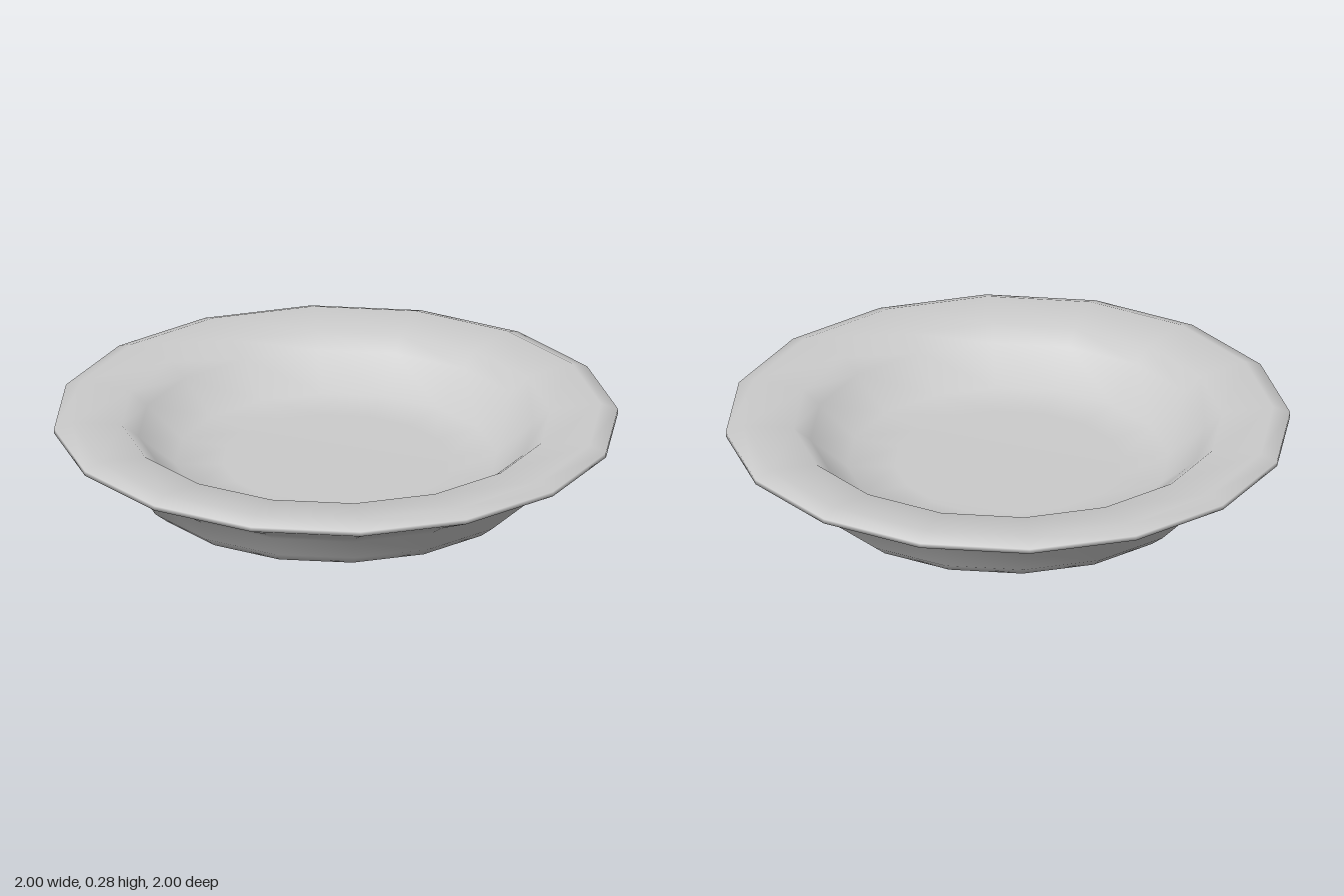
import * as THREE from 'three';

export function createModel() {
  const group = new THREE.Group();
  const material = new THREE.MeshStandardMaterial({ color: 0xcccccc });

  // Closed profile [radius, height]: underside centre, foot, rim, bowl centre
  const profile = [
    // recessed underside and foot ring
    [0, 0.03], [0.55, 0.03], [0.58, 0], [0.67, 0],
    // outer wall and flared underside of the rim
    [0.72, 0.04], [0.74, 0.11], [0.8, 0.15], [1, 0.245],
    // rim edge and broad upper rim
    [1, 0.262], [0.94, 0.285], [0.76, 0.268],
    // inner wall and floor
    [0.7, 0.22], [0.57, 0.11], [0.4, 0.1], [0, 0.1],
  ].map(([r, y]) => new THREE.Vector2(r, y));

  const plate = new THREE.Mesh(new THREE.LatheGeometry(profile, 16), material);
  plate.name = 'plate';
  group.add(plate);
  return group;
}
